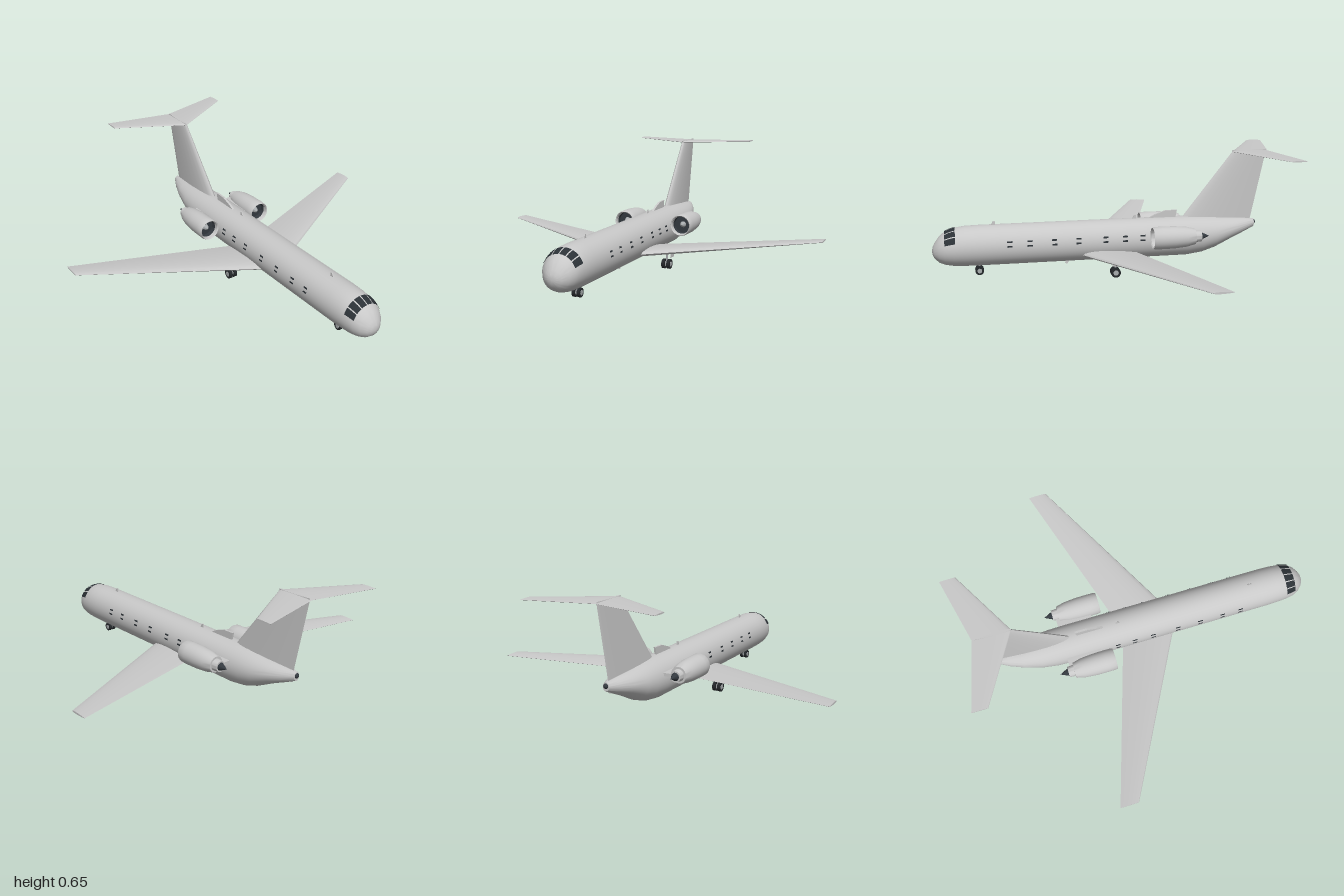
import * as THREE from 'three';
import { toCreasedNormals } from 'three/addons/utils/BufferGeometryUtils.js';

const mat = (name, color, side = THREE.FrontSide) => {
  const m = new THREE.MeshStandardMaterial({ color, side });
  m.name = name;
  return m;
};

// Skin through a row of closed rings, with flat end caps and outward faces
function loft(rings, crease = 0.7) {
  const n = rings[0].length, pos = [], idx = [];
  rings.forEach(r => r.forEach(p => pos.push(...p)));
  for (let i = 0; i < rings.length - 1; i++) {
    for (let j = 0; j < n; j++) {
      const a = i * n + j, b = i * n + (j + 1) % n;
      idx.push(a, b, a + n, b, b + n, a + n);
    }
  }
  const last = (rings.length - 1) * n;
  for (let j = 1; j < n - 1; j++) idx.push(0, j + 1, j, last, last + j, last + j + 1);
  // Signed volume tells whether the rings ran the other way round
  let volume = 0;
  const v = k => new THREE.Vector3().fromArray(pos, idx[k] * 3);
  for (let k = 0; k < idx.length; k += 3) volume += v(k).dot(v(k + 1).cross(v(k + 2)));
  if (volume < 0) idx.reverse();
  const g = new THREE.BufferGeometry();
  g.setAttribute('position', new THREE.Float32BufferAttribute(pos, 3));
  g.setIndex(idx);
  return toCreasedNormals(g, crease);
}

// Wing section: [distance behind leading edge, height], closed loop
function airfoil(chord, thick) {
  const pts = [], N = 10;
  for (let i = 0; i < 2 * N; i++) {
    const c = (1 + Math.cos((i / N) * Math.PI)) / 2;
    const h = 1.3 * thick * Math.sqrt(c) * (1 - c) + 0.0008;
    pts.push([c * chord, i < N ? h : -h]);
  }
  return pts;
}

// Fuselage stations: z, top, bottom, half width
const STATIONS = [
  [1, 0.147, 0.143, 0.002], [0.995, 0.168, 0.122, 0.025], [0.985, 0.19, 0.102, 0.045],
  [0.96, 0.225, 0.08, 0.072], [0.93, 0.25, 0.068, 0.09], [0.905, 0.262, 0.063, 0.097],
  [0.88, 0.27, 0.059, 0.102], [0.82, 0.278, 0.056, 0.107], [0.75, 0.28, 0.055, 0.109],
  [-0.43, 0.28, 0.055, 0.109], [-0.52, 0.278, 0.067, 0.106], [-0.6, 0.273, 0.093, 0.098],
  [-0.7, 0.264, 0.142, 0.077], [-0.78, 0.256, 0.176, 0.048], [-0.84, 0.248, 0.202, 0.018],
];

// Point on the fuselage skin; angle is measured from the top towards +x
function skin(z, angle, out = 0) {
  let i = 0;
  while (i < STATIONS.length - 2 && STATIONS[i + 1][0] > z) i++;
  const a = STATIONS[i], b = STATIONS[i + 1], t = (a[0] - z) / (a[0] - b[0]);
  const [top, bottom, rx] = [1, 2, 3].map(k => a[k] + (b[k] - a[k]) * t);
  return [
    (rx + out) * Math.sin(angle),
    (top + bottom) / 2 + ((top - bottom) / 2 + out) * Math.cos(angle),
    z,
  ];
}

// Thin curved pane lying on the fuselage skin
function pane(zs, a0, a1) {
  const pos = [], idx = [], N = 4;
  zs.forEach(z => {
    for (let j = 0; j <= N; j++) pos.push(...skin(z, a0 + (a1 - a0) * j / N, 0.003));
  });
  for (let i = 0; i < zs.length - 1; i++) {
    for (let j = 0; j < N; j++) {
      const a = i * (N + 1) + j, b = a + N + 1;
      idx.push(a, a + 1, b, a + 1, b + 1, b);
    }
  }
  const g = new THREE.BufferGeometry();
  g.setAttribute('position', new THREE.Float32BufferAttribute(pos, 3));
  g.setIndex(idx);
  g.computeVertexNormals();
  return g;
}

export function createModel() {
  const model = new THREE.Group();
  model.name = 'jetAirliner';
  const body = mat('bodyGrey', 0xc8c8c8);
  const glass = mat('windowDark', 0x2c3237, THREE.DoubleSide);
  const dark = mat('engineDark', 0x343a40);
  const rubber = mat('tyreBlack', 0x24282b);
  const metal = mat('hubMetal', 0xa8acae);

  const add = (name, geometry, material, x = 0, y = 0, z = 0) => {
    const m = new THREE.Mesh(geometry, material);
    m.name = name;
    m.position.set(x, y, z);
    model.add(m);
    return m;
  };
  const lathe = points => toCreasedNormals(
    new THREE.LatheGeometry(points.map(p => new THREE.Vector2(...p)), 32).rotateX(Math.PI / 2), 0.6);
  const axle = (r, w) => new THREE.CylinderGeometry(r, r, w, 20).rotateZ(Math.PI / 2);

  // Fuselage and tail tip
  add('fuselage', loft(STATIONS.map(([z]) =>
    Array.from({ length: 48 }, (_, j) => skin(z, j / 48 * Math.PI * 2)))), body);
  add('tailTip', new THREE.SphereGeometry(0.014, 14, 10), dark, 0, 0.23, -0.838);
  add('tailSkid', new THREE.BoxGeometry(0.008, 0.02, 0.02), body, 0, 0.195, -0.8);

  // Cockpit windows
  for (let i = -3; i < 3; i++) {
    add('cockpitWindow', pane([0.93, 0.905, 0.88, 0.872], i * 0.41 + 0.03, i * 0.41 + 0.38), glass);
  }

  // Fin, swept back
  add('fin', loft([[0.21, -0.36, -0.811, 0.048], [0.645, -0.7, -0.9, 0.024]].map(([y, lead, trail, t]) =>
    airfoil(lead - trail, t).map(([c, h]) => [h, y, lead - c]))), body);
  add('finCap', loft([[0.64, 0.022], [0.654, 0.014]].map(([y, t]) =>
    airfoil(0.2, t).map(([c, h]) => [h, y, -0.7 - c]))), body);

  // Intake fairing on the spine, ahead of the fin
  const spine = new THREE.Shape([[0.2, 0.27], [0.25, 0.297], [0.31, 0.318], [0.38, 0.32], [0.37, 0.27]]
    .map(p => new THREE.Vector2(...p)));
  add('spineFairing', new THREE.ExtrudeGeometry(spine, { depth: 0.012, bevelEnabled: false })
    .rotateY(Math.PI / 2).translate(-0.006, 0, 0), body);

  // Blade antennas above and below
  for (const [z, y, dir] of [[0.665, 0.278, 1], [-0.13, 0.278, 1], [0.25, 0.057, -1]]) {
    const blade = new THREE.Shape([[-0.014, -0.006], [0.014, -0.006], [0.012, 0.022], [0.002, 0.022]]
      .map(p => new THREE.Vector2(p[0], p[1])));
    const m = add('antenna', new THREE.ExtrudeGeometry(blade, { depth: 0.006, bevelEnabled: false })
      .translate(0, 0, -0.003).rotateY(Math.PI / 2), body, 0, y, z);
    if (dir < 0) m.rotation.x = Math.PI;
  }

  for (const s of [1, -1]) {
    const side = s > 0 ? 'left' : 'right';

    // Wing: x, y, leading z, trailing z, thickness
    add(side + 'Wing', loft([[0.03, 0.102, 0.208, -0.11, 0.043], [0.98, 0.155, -0.305, -0.41, 0.009]]
      .map(([x, y, lead, trail, t]) => airfoil(lead - trail, t).map(([c, h]) => [s * x, y + h, lead - c]))), body);

    // Tailplane on top of the fin
    add(side + 'Tailplane', loft([[0, -0.7, -0.91, 0.012], [0.372, -0.912, -1, 0.006]]
      .map(([x, lead, trail, t]) => airfoil(lead - trail, t).map(([c, h]) => [s * x, 0.646 + h, lead - c]))), body);

    // Cabin windows: two rows of short slots
    for (const z of [0.58, 0.47, 0.335, 0.2, 0.05, -0.06, -0.16]) {
      for (const a of [1.24, 1.46]) {
        add('cabinWindow', pane([z + 0.014, z - 0.014], s * a - 0.04, s * a + 0.04), glass);
      }
    }

    // Rear engine: nacelle with open intake, fan, spinner, exhaust cone, pylon
    const ex = s * 0.177, ey = 0.207;
    add(side + 'Nacelle', lathe([[0.022, -0.475], [0.03, -0.475], [0.033, -0.44], [0.044, -0.44],
      [0.056, -0.39], [0.062, -0.32], [0.063, -0.25], [0.062, -0.21], [0.058, -0.2],
      [0.053, -0.205], [0.051, -0.225]]), body, ex, ey);
    add(side + 'IntakeDuct', lathe([[0.051, -0.225], [0.049, -0.25], [0, -0.25]]), dark, ex, ey);
    add(side + 'Spinner', lathe([[0.018, -0.25], [0.012, -0.232], [0, -0.222]]), metal, ex, ey);
    add(side + 'ExhaustCone', lathe([[0, -0.522], [0.022, -0.475], [0.022, -0.46]]), dark, ex, ey);
    add(side + 'Pylon', new THREE.BoxGeometry(0.07, 0.018, 0.2), body, s * 0.115, 0.205, -0.36);

    // Main and nose wheels, in pairs
    for (const [x, z, r, w] of [[0.164, 0.01, 0.027, 0.017], [0.194, 0.01, 0.027, 0.017], [0.014, 0.745, 0.024, 0.015]]) {
      add('tyre', axle(r, w), rubber, s * x, r, z);
      add('wheelHub', axle(r * 0.55, w + 0.003), metal, s * x, r, z);
    }
    add(side + 'GearStrut', new THREE.CylinderGeometry(0.006, 0.006, 0.085, 10), metal, s * 0.179, 0.068, 0.01);
    add(side + 'GearAxle', axle(0.005, 0.03), metal, s * 0.179, 0.027, 0.01);
    add(side + 'GearDoor', new THREE.BoxGeometry(0.004, 0.035, 0.045), body, s * 0.21, 0.085, 0.01);
  }

  // Nose gear leg
  add('noseGearStrut', new THREE.CylinderGeometry(0.005, 0.005, 0.05, 10), metal, 0, 0.045, 0.745);
  add('noseGearAxle', axle(0.004, 0.028), metal, 0, 0.024, 0.745);
  return model;
}
